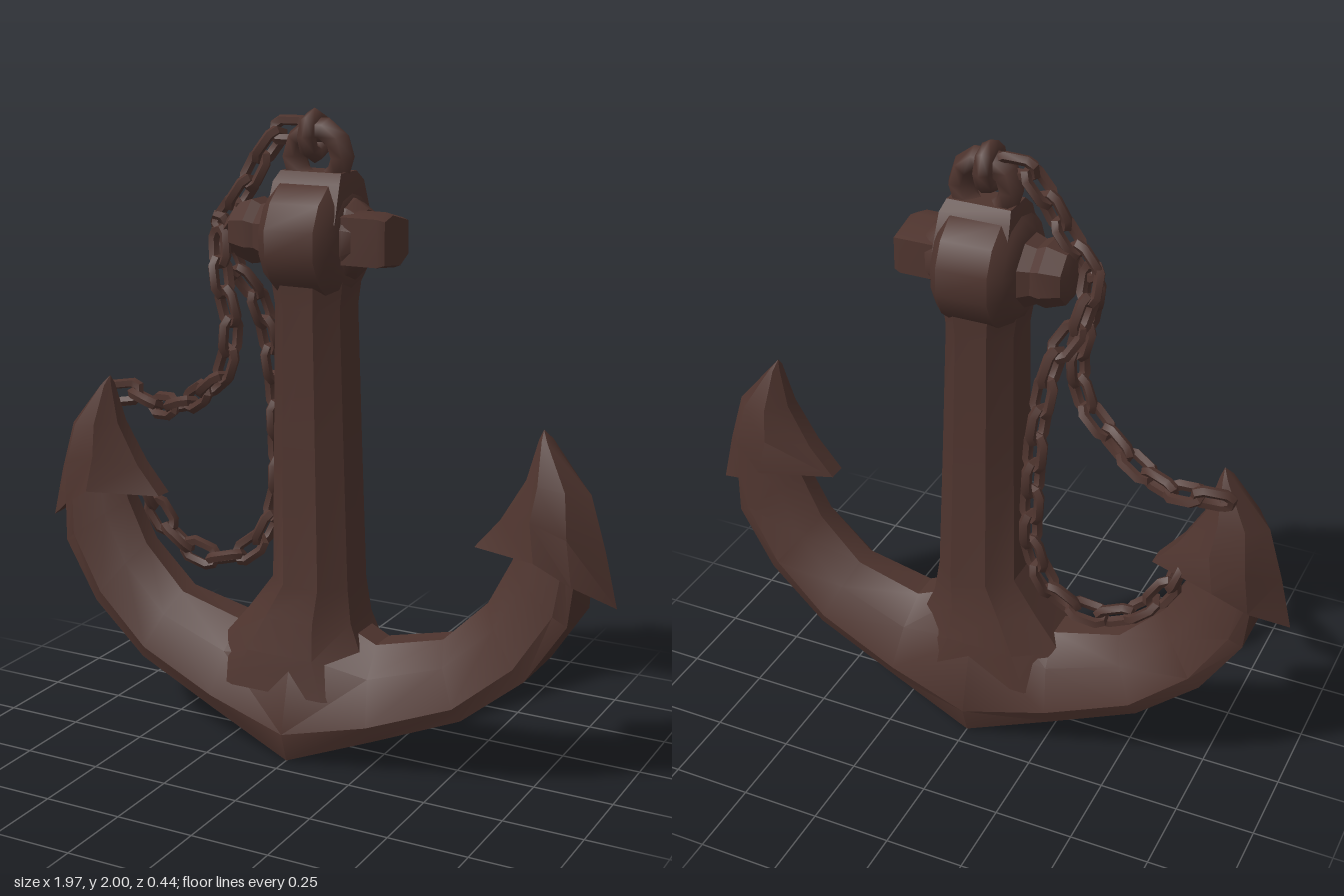
import * as THREE from 'three';
import { toCreasedNormals } from 'three/addons/utils/BufferGeometryUtils.js';

const V = (x, y, z) => new THREE.Vector3(x, y, z);

// Triangles to a geometry, keeping sharp edges
function fromTriangles(tris) {
  const g = new THREE.BufferGeometry();
  g.setFromPoints(tris.flat());
  return toCreasedNormals(g, 0.6);
}

// Closed solid from a list of rings (equal point counts); ends close to their centres
// or to the given cap points. Winding is corrected from the signed volume.
function loft(rings, startCap, endCap) {
  const n = rings[0].length, last = rings[rings.length - 1], tris = [];
  const centre = r => r.reduce((s, p) => s.add(p), V(0, 0, 0)).divideScalar(n);
  const a = startCap || centre(rings[0]), b = endCap || centre(last);
  for (let j = 0; j < n; j++) {
    const k = (j + 1) % n;
    tris.push([a, rings[0][k], rings[0][j]], [b, last[j], last[k]]);
    for (let i = 0; i < rings.length - 1; i++) {
      const p = rings[i], q = rings[i + 1];
      tris.push([p[j], p[k], q[k]], [p[j], q[k], q[j]]);
    }
  }
  let volume = 0;
  for (const [p, q, r] of tris) volume += p.dot(q.clone().cross(r));
  return fromTriangles(volume > 0 ? tris : tris.map(([p, q, r]) => [p, r, q]));
}

// Ring of n points around the x axis
function ringX(x, r, n, cy = 1.62, rz = r) {
  return Array.from({ length: n }, (_, i) => {
    const t = (i + 0.5) / n * Math.PI * 2;
    return V(x, cy + r * Math.sin(t), rz * Math.cos(t));
  });
}

// Chain link: long closed loop lying along x, five-sided in section
function makeLink() {
  const L = 0.053, W = 0.029, K = 0.032, R = 0.0175;
  const rings = [[K, W], [L, W / 2], [L, -W / 2], [K, -W], [-K, -W], [-L, -W / 2], [-L, W / 2], [-K, W]].map(([x, y]) => {
    const out = V(x * 0.6, y * 1.6, 0).normalize();
    return Array.from({ length: 5 }, (_, j) => {
      const t = j / 5 * Math.PI * 2;
      return V(x, y, R * Math.sin(t)).addScaledVector(out, R * Math.cos(t));
    });
  });
  const tris = [];
  rings.forEach((r, i) => {
    const q = rings[(i + 1) % rings.length];
    for (let j = 0; j < 5; j++) {
      const k = (j + 1) % 5;
      tris.push([r[j], q[k], q[j]], [r[j], r[k], q[k]]);
    }
  });
  return fromTriangles(tris);
}

export function createModel() {
  const model = new THREE.Group();
  const iron = new THREE.MeshStandardMaterial({ color: 0x4e342e });
  iron.name = 'rusty brown iron';
  const add = (name, geometry, parent = model) => {
    const m = new THREE.Mesh(geometry, iron);
    m.name = name;
    parent.add(m);
    return m;
  };

  // Shank: chamfered section, flaring into the crown [y, left, right, half depth]
  const shank = [
    [0.22, -0.38, 0.3, 0.18], [0.34, -0.28, 0.21, 0.165], [0.45, -0.19, 0.165, 0.145],
    [0.56, -0.11, 0.15, 0.13], [1.0, -0.105, 0.133, 0.125], [1.42, -0.1, 0.118, 0.122], [1.52, -0.115, 0.13, 0.13],
  ];
  add('shank', loft(shank.map(([y, l, r, d]) => {
    const c = (r - l) * 0.27, e = d * 0.5;
    return [V(l, y, e), V(l + c, y, d), V(r - c, y, d), V(r, y, e),
      V(r, y, -e), V(r - c, y, -d), V(l + c, y, -d), V(l, y, -e)];
  })));

  // Arm stations: outer point, inner point, half depth
  const arm = [
    [0, 0.005, 0, 0.5, 0.218], [0.28, 0.115, 0.24, 0.385, 0.185], [0.56, 0.23, 0.46, 0.44, 0.153],
    [0.75, 0.385, 0.6, 0.58, 0.13], [0.87, 0.57, 0.67, 0.72, 0.112], [0.885, 0.76, 0.71, 0.84, 0.085],
  ];
  const section = [[0, 0.85], [0.2, 1], [0.7, 0.72], [1, 0.25]];
  const sectionLoop = [...section, ...section.map(([t, w]) => [t, -w]).reverse()];

  // Fluke half-sections: pointed spade with two barbs and an arched lower rim
  const fluke = [
    [[0.735, 1.09, 0.012], [0.75, 1.09, 0.03], [0.765, 1.09, 0.026], [0.775, 1.085, 0]],
    [[0.705, 0.97, 0.025], [0.76, 0.97, 0.08], [0.84, 0.96, 0.07], [0.895, 0.945, 0]],
    [[0.63, 0.84, 0.03], [0.75, 0.87, 0.108], [0.86, 0.83, 0.1], [0.945, 0.78, 0]],
    [[0.55, 0.745, 0.03], [0.77, 0.755, 0.122], [0.875, 0.69, 0.09], [0.985, 0.615, 0]],
  ];
  for (const s of [1, -1]) {
    const side = s > 0 ? 'left' : 'right';
    add(side + 'Arm', loft(arm.map(([ox, oy, ix, iy, d]) => sectionLoop.map(([t, w]) =>
      V(s * (ox + (ix - ox) * t), oy + (iy - oy) * t, w * d)))));
    add(side + 'Fluke', loft(fluke.map(h => [
      ...h.map(([x, y, z]) => V(s * x, y, z)),
      ...h.slice(0, 3).reverse().map(([x, y, z]) => V(s * x, y, -z)),
    ]), V(s * 0.745, 1.12, 0), V(s * 0.79, 0.79, 0)));
  }

  // Round head with bevelled rims
  add('head', loft([[-0.125, 0.115], [-0.105, 0.155], [-0.07, 0.185], [0.09, 0.185], [0.12, 0.155], [0.135, 0.115]]
    .map(([x, r]) => ringX(x, r, 14))));
  add('headTop', loft([[1.68, 0.115, 0.12], [1.79, 0.11, 0.08], [1.82, 0.1, 0.05]].map(([y, w, d]) =>
    [V(0.015 - w, y, d), V(0.015 + w, y, d), V(0.015 + w, y, -d), V(0.015 - w, y, -d)])));

  // Stock stubs: a squarish one on the left, a rounded one on the right
  add('leftStockCollar', loft([ringX(0.1, 0.125, 10, 1.625, 0.11), ringX(0.14, 0.12, 10, 1.625, 0.105),
    ringX(0.18, 0.085, 10, 1.63, 0.09)]));
  const stub = [[0.07, 0.09], [0.085, 0.03], [0.055, -0.09], [-0.055, -0.09], [-0.085, -0.03], [-0.07, 0.09]];
  add('leftStock', loft([[0.12, 1], [0.25, 1], [0.272, 0.9]].map(([x, k]) =>
    stub.map(([y, z]) => V(x, 1.63 + y * k, z * k)))));
  add('rightStock', loft([ringX(-0.1, 0.12, 8, 1.62), ringX(-0.16, 0.095, 8, 1.625),
    ringX(-0.19, 0.105, 8, 1.63), ringX(-0.25, 0.085, 8, 1.63), ringX(-0.265, 0.055, 8, 1.63)]));

  // Lug on the head and the shackle hanging through it
  const lug = add('lug', new THREE.TorusGeometry(0.078, 0.036, 6, 10));
  lug.position.set(0.015, 1.86, 0);
  lug.scale.set(1.02, 1.05, 1.35);
  const shackle = add('shackle', new THREE.TorusGeometry(0.053, 0.028, 6, 8));
  shackle.position.set(0, 1.92, -0.005);
  shackle.rotation.y = Math.PI / 2;

  // Links strung along a curve, each turned a quarter from the last
  const link = makeLink();
  function chain(name, points) {
    const curve = new THREE.CatmullRomCurve3(points.map(p => V(...p)));
    const group = new THREE.Group();
    group.name = name;
    const count = Math.round(curve.getLength() / 0.092);
    for (let i = 0; i < count; i++) {
      const u = (i + 0.5) / count;
      const x = curve.getTangentAt(u);
      const y = V(0, 0, 1).cross(x).normalize();
      const z = x.clone().cross(y);
      const m = add('link', link, group);
      m.quaternion.setFromRotationMatrix(new THREE.Matrix4().makeBasis(x, y, z));
      m.rotateX(0.35 + (i % 2) * Math.PI / 2);
      m.position.copy(curve.getPointAt(u));
    }
    model.add(group);
  }
  chain('upperChain', [[-0.04, 1.93, 0], [-0.1, 1.93, 0], [-0.17, 1.85, 0.01], [-0.22, 1.76, 0.02], [-0.31, 1.64, 0.02]]);
  chain('hangingChain', [[-0.31, 1.66, 0.02], [-0.3, 1.52, -0.03], [-0.24, 1.4, -0.08], [-0.21, 1.2, -0.12],
    [-0.197, 0.95, -0.13], [-0.2, 0.75, -0.125], [-0.27, 0.59, -0.105], [-0.4, 0.53, -0.08], [-0.53, 0.58, -0.06],
    [-0.61, 0.68, -0.05], [-0.65, 0.78, -0.03]]);
  chain('flukeChain', [[-0.31, 1.62, 0.03], [-0.285, 1.48, 0.06], [-0.255, 1.34, 0.06], [-0.285, 1.19, 0.06],
    [-0.39, 1.1, 0.03], [-0.5, 1.045, -0.01], [-0.6, 1.03, -0.045], [-0.72, 1.05, -0.07], [-0.78, 1.04, -0.05]]);

  return model;
}
